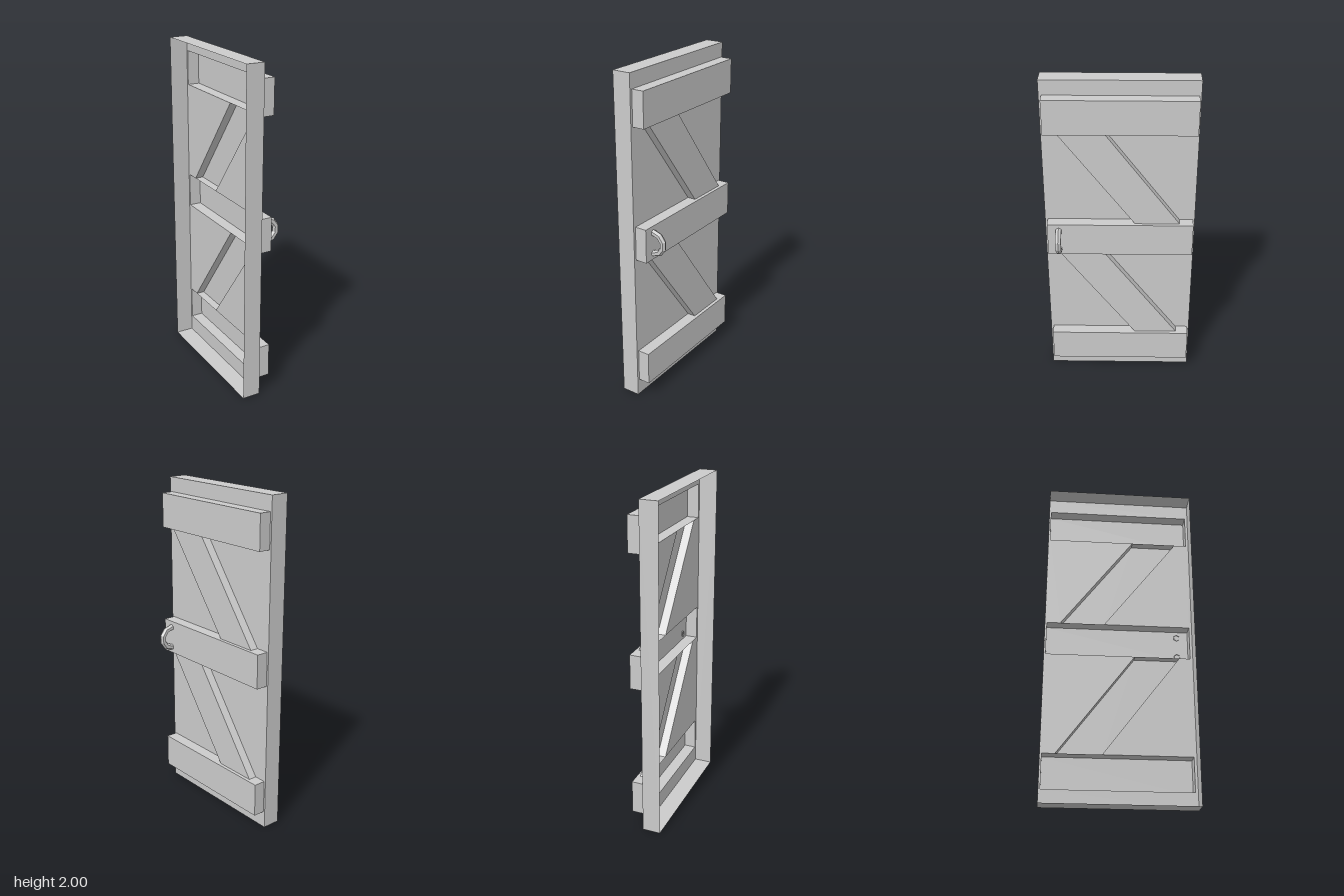
import * as THREE from 'three';
import { mergeGeometries } from 'three/addons/utils/BufferGeometryUtils.js';

const material = new THREE.MeshStandardMaterial({ color: 0xcccccc, flatShading: true, side: THREE.DoubleSide });

// Local frame: u across the door, v up, w towards the handle side.
const PANEL_W = -0.024, BACK_W = -0.134, BAR_W = 0.048, BRACE_W = 0.027;
const BAR_U = [-0.428, 0.434];
const BARS = [[1.912, 1.706], [1.124, 0.918], [0.308, 0.103]]; // top and bottom of each
const BRACES = [ // left and right edge: u at the top, u at the bottom
  { left: [-0.354, 0.09], right: [-0.085, 0.354] },
  { left: [-0.362, 0.095], right: [-0.095, 0.36] },
];

const toPoints = (list) => list.map(([u, v]) => new THREE.Vector2(u, v));

// A thin face at w = front with side walls back to w = back, open behind.
// Walls are made for the listed edges of the counter-clockwise outline.
function shell(name, outline, back, front, { hole = null, edges = outline.map((_, i) => i) } = {}) {
  const shape = new THREE.Shape(toPoints(outline));
  if (hole) shape.holes.push(new THREE.Path(toPoints(hole)));
  const face = new THREE.ShapeGeometry(shape).toNonIndexed();
  face.deleteAttribute('uv');
  face.translate(0, 0, front);

  const corners = [];
  for (const i of edges) {
    const a = outline[i], b = outline[(i + 1) % outline.length];
    corners.push(...a, back, ...b, back, ...b, front, ...a, back, ...b, front, ...a, front);
  }
  const walls = new THREE.BufferGeometry();
  walls.setAttribute('position', new THREE.Float32BufferAttribute(corners, 3));
  walls.computeVertexNormals();

  const mesh = new THREE.Mesh(mergeGeometries([face, walls]), material);
  mesh.name = name;
  return mesh;
}

const rect = (u0, u1, v0, v1) => [[u0, v0], [u1, v0], [u1, v1], [u0, v1]];

// One continuous opening behind the bars and braces
function reliefOutline() {
  const left = [], right = [];
  BARS.forEach(([top, bottom], i) => {
    left.push([BAR_U[0], top], [BAR_U[0], bottom]);
    right.push([BAR_U[1], top], [BAR_U[1], bottom]);
    const brace = BRACES[i];
    if (!brace) return;
    const nextTop = BARS[i + 1][0];
    left.push([brace.left[0], bottom], [brace.left[1], nextTop]);
    right.push([brace.right[0], bottom], [brace.right[1], nextTop]);
  });
  return [...left, ...right.reverse()];
}

// Faceted pull handle: a five-segment half ring on two short feet
function makeHandle() {
  const handle = new THREE.Group();
  handle.name = 'handle';
  const radius = 0.064, thickness = 0.019, ringW = 0.054, footW = 0.042;

  const ring = new THREE.TorusGeometry(radius, thickness, 6, 5, Math.PI);
  ring.rotateZ(-Math.PI / 2).rotateY(-Math.PI / 2);
  const grip = new THREE.Mesh(ring, material);
  grip.name = 'handleGrip';
  grip.position.z = ringW;
  handle.add(grip);

  for (const side of [-1, 1]) {
    const geometry = new THREE.CylinderGeometry(thickness, thickness, ringW - footW, 6, 1, true);
    const foot = new THREE.Mesh(geometry.rotateX(Math.PI / 2), material);
    foot.name = 'handleFoot';
    foot.position.set(0, side * radius, (ringW + footW) / 2);
    handle.add(foot);
  }
  handle.position.set(-0.3605, 1.02, 0);
  return handle;
}

export function createModel() {
  const door = new THREE.Group();
  door.name = 'door';

  // Hollow door panel, open at the back
  door.add(shell('doorPanel', rect(-0.444, 0.445, 0, 2), BACK_W, PANEL_W, { hole: reliefOutline() }));

  // Horizontal bars
  for (const [top, bottom] of BARS) {
    door.add(shell('crossBar', rect(...BAR_U, bottom, top), PANEL_W, BAR_W));
  }

  // Diagonal braces, walled on their two long edges
  BRACES.forEach(({ left, right }, i) => {
    const top = BARS[i][1], bottom = BARS[i + 1][0];
    const outline = [[left[1], bottom], [right[1], bottom], [right[0], top], [left[0], top]];
    door.add(shell('diagonalBrace', outline, PANEL_W, BRACE_W, { edges: [1, 3] }));
  });

  door.add(makeHandle());

  // Turn the face towards +x
  door.rotation.y = Math.PI / 2;
  const model = new THREE.Group();
  model.name = 'plankDoor';
  model.add(door);
  return model;
}
